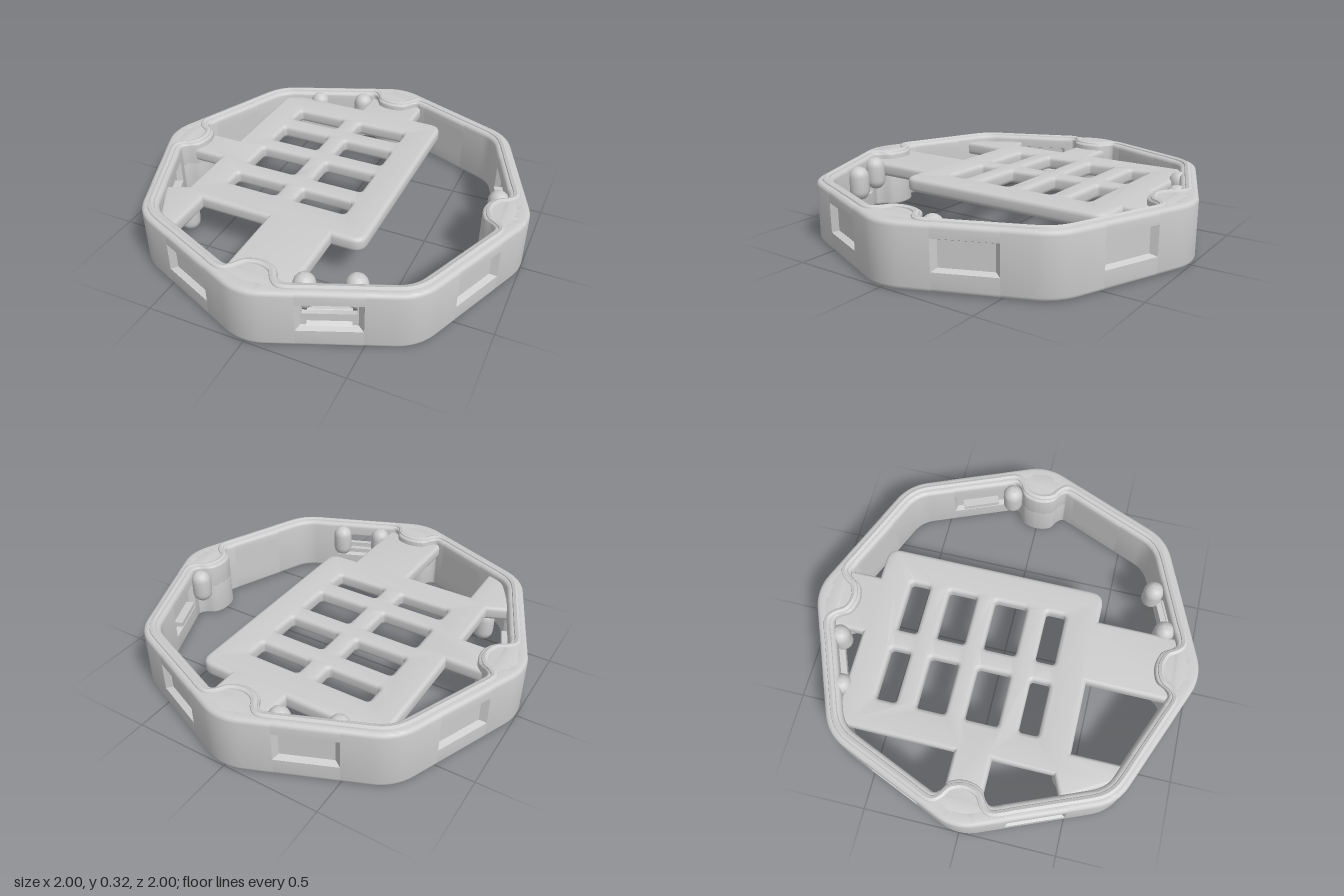
import * as THREE from 'three';
import { toCreasedNormals } from 'three/addons/utils/BufferGeometryUtils.js';

const grey = new THREE.MeshStandardMaterial({ color: 0xcccccc, side: THREE.DoubleSide });
const APOTHEM = 0.943, ROUND = 0.25, WALL = 0.085, TOP = 0.308;
const WIN_HALF = 0.15, WIN_LOW = 0.095, WIN_HIGH = 0.245;
const STEP = Math.PI / 4;

function add(parent, name, geometry, x = 0, y = 0, z = 0) {
  const mesh = new THREE.Mesh(toCreasedNormals(geometry, 0.6), grey);
  mesh.name = name;
  mesh.position.set(x, y, z);
  parent.add(mesh);
  return mesh;
}

// Points on the outer wall: a straight face, and the rounded corner after it
const faceAngle = k => STEP / 2 + k * STEP;
function faceStation(k, s) {
  const c = Math.cos(faceAngle(k)), n = Math.sin(faceAngle(k));
  return { x: c * APOTHEM - n * s, z: n * APOTHEM + c * s, nx: c, nz: n };
}
function cornerStations(k, count = 8) {
  const mid = faceAngle(k) + STEP / 2, d = (APOTHEM - ROUND) / Math.cos(STEP / 2), list = [];
  for (let i = 0; i <= count; i++) {
    const a = faceAngle(k) + STEP * i / count, nx = Math.cos(a), nz = Math.sin(a);
    list.push({ x: Math.cos(mid) * d + nx * ROUND, z: Math.sin(mid) * d + nz * ROUND, nx, nz });
  }
  return list;
}

// Wall section with rounded bottom and top edges, as [outward, up]
function section(y0, y1, rBottom, rTop) {
  const pts = [];
  const corner = (cx, cy, r, start) => {
    for (let i = 0; i <= 4; i++) {
      const a = start + Math.PI / 2 * i / 4;
      pts.push([cx + r * Math.cos(a), cy + r * Math.sin(a)]);
      if (r === 0) break;
    }
  };
  corner(-rBottom, y0 + rBottom, rBottom, -Math.PI / 2);
  corner(-rTop, y1 - rTop, rTop, 0);
  corner(-WALL + rTop, y1 - rTop, rTop, Math.PI / 2);
  corner(-WALL + rBottom, y0 + rBottom, rBottom, Math.PI);
  return pts;
}
function sweep(profile, stations) {
  const pos = [], index = [], m = profile.length;
  stations.forEach((s, i) => profile.forEach(([n, y], j) => {
    pos.push(s.x + s.nx * n, y, s.z + s.nz * n);
    if (i === 0) return;
    const a = (i - 1) * m + j, b = (i - 1) * m + (j + 1) % m;
    index.push(a, b, b + m, a, b + m, a + m);
  }));
  const g = new THREE.BufferGeometry();
  g.setAttribute('position', new THREE.Float32BufferAttribute(pos, 3));
  g.setIndex(index);
  return g;
}

// Slab from an outline in (x, z), hanging down from y = 0
function slab(shape, thickness, bevel) {
  const g = new THREE.ExtrudeGeometry(shape, {
    depth: thickness - 2 * bevel, bevelEnabled: bevel > 0, bevelThickness: bevel,
    bevelSize: bevel, bevelOffset: -bevel, bevelSegments: 4, curveSegments: 8
  });
  return g.translate(0, 0, bevel).rotateX(Math.PI / 2);
}
function roundRect(x0, z0, x1, z1, r, p = new THREE.Path()) {
  p.moveTo(x0 + r, z0).lineTo(x1 - r, z0).quadraticCurveTo(x1, z0, x1, z0 + r);
  p.lineTo(x1, z1 - r).quadraticCurveTo(x1, z1, x1 - r, z1);
  p.lineTo(x0 + r, z1).quadraticCurveTo(x0, z1, x0, z1 - r);
  p.lineTo(x0, z0 + r).quadraticCurveTo(x0, z0, x0 + r, z0);
  return p;
}
// Four-sided funnel around a window
function funnel(outer, inner, depth) {
  const h = Math.SQRT1_2;
  return new THREE.CylinderGeometry(h * outer, h * inner, depth, 4, 1, true)
    .rotateY(Math.PI / 4).rotateX(Math.PI / 2).scale(2 * WIN_HALF, WIN_HIGH - WIN_LOW, 1);
}

function buildRing(group) {
  const ring = new THREE.Group();
  ring.name = 'octagonalRing';
  group.add(ring);
  const full = section(0, TOP, 0.022, 0.022);
  const low = section(0, WIN_LOW, 0.022, 0), high = section(WIN_HIGH, TOP, 0, 0.022);
  for (let k = 0; k < 8; k++) {
    add(ring, 'wallCorner', sweep(full,
      [faceStation(k, WIN_HALF), ...cornerStations(k), faceStation(k + 1, -WIN_HALF)]));
    const span = [faceStation(k, -WIN_HALF), faceStation(k, WIN_HALF)];
    add(ring, 'windowSill', sweep(low, span));
    add(ring, 'windowHeader', sweep(high, span));

    // Recessed window, with local +z facing outward
    const f = faceStation(k, 0), socket = k % 2 === 1, open = k === 1;
    const win = new THREE.Group();
    win.name = 'window';
    win.position.set(f.x, (WIN_LOW + WIN_HIGH) / 2, f.z);
    win.rotation.y = Math.atan2(f.nx, f.nz);
    ring.add(win);
    add(win, 'windowBevel', funnel(1, 0.84, 0.03), 0, 0, -0.015);
    const back = socket ? 0.055 : WALL;
    const panel = roundRect(-WIN_HALF, -0.075, WIN_HALF, 0.075, 0.001, new THREE.Shape());
    if (open) panel.holes.push(roundRect(-0.12, 0.0, 0.12, 0.055, 0.003));
    add(win, 'windowPanel', new THREE.ExtrudeGeometry(panel,
      { depth: back - 0.03, bevelEnabled: false }), 0, 0, -back);
    if (socket) {
      add(win, 'innerFrame', funnel(0.9, 1, WALL - back), 0, 0, -(back + WALL) / 2);
      add(win, 'innerClip', new THREE.BoxGeometry(0.2, 0.025, 0.05), 0, -0.03, -0.075);
    }
    if (open) {
      const ramp = new THREE.Shape([[0, 0], [0.06, 0], [0.06, 0.045]].map(p => new THREE.Vector2(...p)));
      add(win, 'socketRamp', new THREE.ExtrudeGeometry(ramp, { depth: 0.2, bevelEnabled: false })
        .rotateY(Math.PI / 2), -0.1, -0.055, -0.01);
    }
  }
}

// Raised lip on the rim, bending inward round each screw boss
function buildLip(group) {
  const pts = [], bend = [[0.22, 0.882], [0.14, 0.905], [0.1, 0.875], [0.07, 0.832], [0, 0.81]];
  for (let k = 0; k < 8; k++) {
    const at = s => pts.push(new THREE.Vector3(s.x - s.nx * 0.045, 0, s.z - s.nz * 0.045));
    [-0.12, 0, 0.12].forEach(s => at(faceStation(k, s)));
    if (k % 2 === 0) { cornerStations(k, 4).forEach(at); continue; }
    const a = STEP * (k + 1), c = Math.cos(a), s = Math.sin(a);
    const mirror = bend.slice(0, -1).reverse().map(([u, w]) => [-u, w]);
    [...bend, ...mirror].forEach(([u, w]) =>
      pts.push(new THREE.Vector3(c * w + s * u, 0, s * w - c * u)));
  }
  const curve = new THREE.CatmullRomCurve3(pts, true, 'centripetal');
  add(group, 'rimLip', new THREE.TubeGeometry(curve, 320, 0.02, 8, true), 0, 0.3, 0);
}

function buildBosses(group) {
  const outline = [[-0.19, 0.86], [-0.14, 0.87], [-0.11, 0.85], [-0.075, 0.8], [0, 0.78],
    [0.075, 0.8], [0.11, 0.85], [0.14, 0.87], [0.19, 0.86]].map(p => new THREE.Vector2(...p));
  const shape = () => {
    const s = new THREE.Shape().moveTo(-0.19, 0.86);
    return s.splineThru(outline.slice(1)).lineTo(0.19, 0.91).lineTo(0, 0.975).lineTo(-0.19, 0.91);
  };
  const drilled = shape();
  drilled.holes.push(new THREE.Path().absarc(0, 0.89, 0.028, 0, Math.PI * 2));
  for (let i = 0; i < 4; i++) {
    const boss = new THREE.Group();
    boss.name = 'screwBoss';
    boss.rotation.y = i * Math.PI / 2;
    group.add(boss);
    add(boss, 'bossCap', slab(shape(), 0.14, 0.012), 0, TOP, 0);
    add(boss, 'bossBase', slab(drilled, 0.2, 0.012), 0, 0.2, 0);
  }
}

// Mounting plate with arms that reach the ring
function buildPlate(group) {
  const p = new THREE.Shape().moveTo(-0.65, -0.66);
  p.lineTo(-0.59, -0.72).lineTo(-0.16, -0.72).lineTo(-0.16, -0.89).lineTo(0.16, -0.89).lineTo(0.16, -0.72);
  p.lineTo(0.27, -0.72).quadraticCurveTo(0.34, -0.72, 0.34, -0.65);
  p.lineTo(0.34, 0.39).quadraticCurveTo(0.34, 0.46, 0.27, 0.46);
  p.lineTo(0.18, 0.46).lineTo(0.18, 0.89).lineTo(-0.16, 0.89).lineTo(-0.16, 0.46);
  p.lineTo(-0.53, 0.46).lineTo(-0.53, 0.73).lineTo(-0.62, 0.7).lineTo(-0.76, 0.45);
  p.lineTo(-0.65, 0.4).lineTo(-0.65, 0.09).lineTo(-0.92, 0.09).lineTo(-0.92, -0.1).lineTo(-0.65, -0.1);
  const columns = [[-0.485, -0.21], [-0.105, 0.17]];
  const rows = [[-0.55, -0.445], [-0.34, -0.19], [-0.09, 0.08], [0.185, 0.285]];
  for (const [x0, x1] of columns)
    for (const [z0, z1] of rows) p.holes.push(roundRect(x0, z0, x1, z1, 0.02));
  add(group, 'mountingPlate', slab(p, 0.075, 0.022), 0, 0.275, 0);
}

// Round-ended posts beside the sockets
function buildPosts(group) {
  const posts = [[0.21, 0.8, 0.22], [0.42, 0.71, 0.22], [0.82, -0.15, 0.22],
    [-0.45, -0.74, 0.22], [-0.2, -0.83, 0.22], [-0.63, 0.45, 0.14]];
  for (const [x, z, y] of posts)
    add(group, 'socketPost', new THREE.CapsuleGeometry(0.053, 0.075, 6, 16), x, y, z);
}

export function createModel() {
  const group = new THREE.Group();
  group.name = 'octagonalFrame';
  buildRing(group);
  buildLip(group);
  buildBosses(group);
  buildPlate(group);
  buildPosts(group);
  return group;
}
